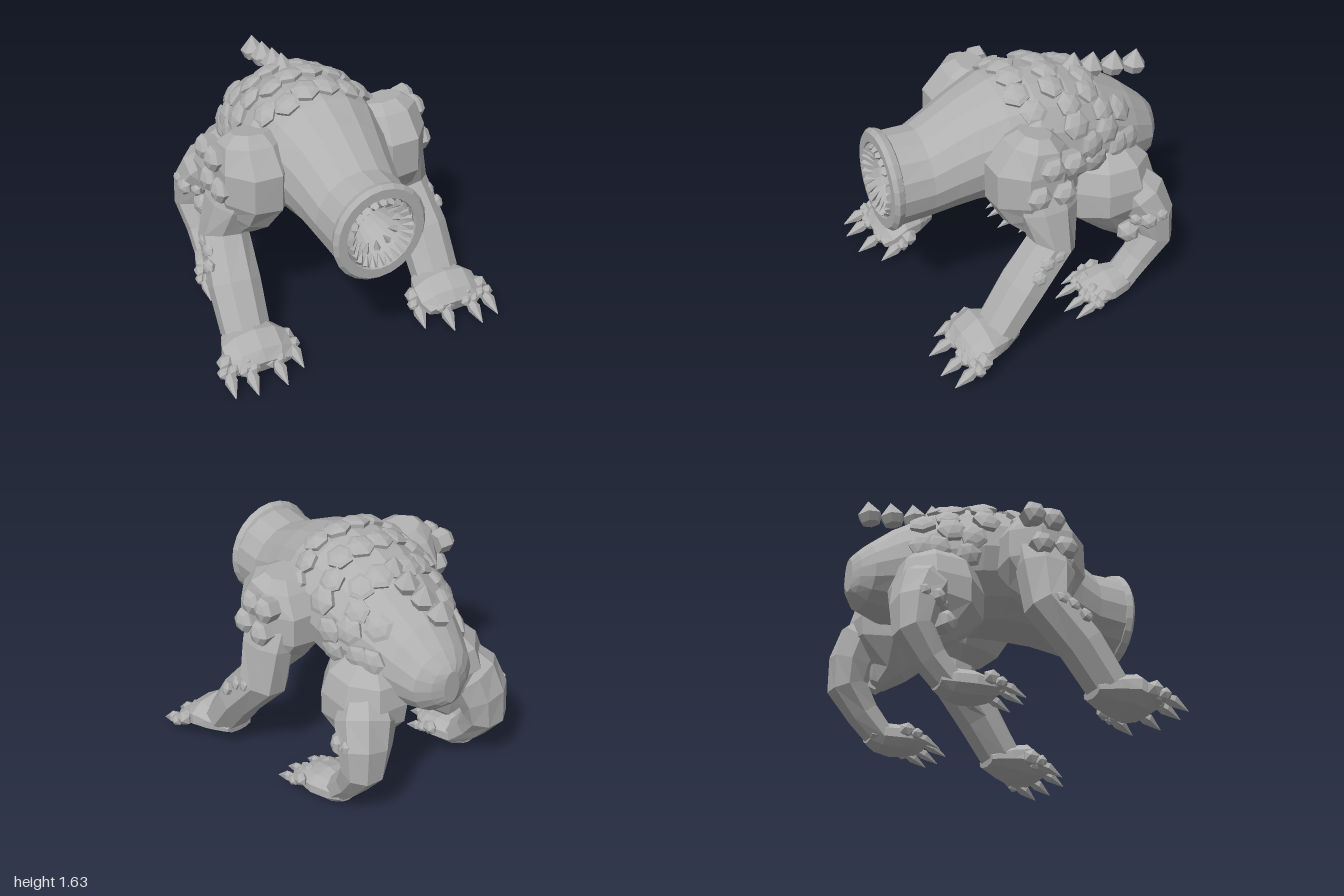
import * as THREE from 'three';

const V = (x, y, z) => new THREE.Vector3(x, y, z);
const hide = new THREE.MeshStandardMaterial({ color: 0xb0b0b0, flatShading: true, side: THREE.DoubleSide });
hide.name = 'stone grey hide';

function part(name, geometry, parent) {
  const m = new THREE.Mesh(geometry, hide);
  m.name = name;
  parent.add(m);
  return m;
}

// Skin a list of rings, closing each end with a fan when asked
function loft(rings, capStart = true, capEnd = true) {
  const n = rings[0].length, pos = [], idx = [];
  rings.forEach(r => r.forEach(p => pos.push(p.x, p.y, p.z)));
  for (let i = 0; i < rings.length - 1; i++) for (let j = 0; j < n; j++) {
    const a = i * n + j, b = i * n + (j + 1) % n;
    idx.push(a, b, a + n, b, b + n, a + n);
  }
  const cap = (i, flip) => {
    const c = V(0, 0, 0);
    rings[i].forEach(p => c.addScaledVector(p, 1 / n));
    const k = pos.length / 3;
    pos.push(c.x, c.y, c.z);
    for (let j = 0; j < n; j++) {
      const a = i * n + j, b = i * n + (j + 1) % n;
      flip ? idx.push(k, b, a) : idx.push(k, a, b);
    }
  };
  if (capStart) cap(0, true);
  if (capEnd) cap(rings.length - 1, false);
  const g = new THREE.BufferGeometry();
  g.setAttribute('position', new THREE.Float32BufferAttribute(pos, 3));
  g.setIndex(idx);
  g.computeVertexNormals();
  return g;
}

// Faceted limb through stations [x, y, z, half width, half depth]
function limb(stations, sides = 8) {
  const pts = stations.map(s => V(s[0], s[1], s[2]));
  return loft(stations.map((s, i) => {
    const t = pts[Math.min(i + 1, pts.length - 1)].clone().sub(pts[Math.max(i - 1, 0)]).normalize();
    const u = V(1, 0, 0).addScaledVector(t, -t.x).normalize();
    const v = t.clone().cross(u);
    return Array.from({ length: sides }, (_, j) => {
      const a = (j + 0.5) / sides * Math.PI * 2;
      return pts[i].clone().addScaledVector(u, s[3] * Math.cos(a)).addScaledVector(v, s[4] * Math.sin(a));
    });
  }));
}

// Body sections: [z, top, bottom, half width]
const sections = [
  [-0.995, 1.06, 0.83, 0.06], [-0.965, 1.1, 0.795, 0.14], [-0.9, 1.17, 0.735, 0.23], [-0.75, 1.3, 0.69, 0.3],
  [-0.5, 1.46, 0.68, 0.39], [-0.25, 1.56, 0.71, 0.45], [0, 1.6, 0.76, 0.46], [0.2, 1.57, 0.77, 0.43],
  [0.4, 1.49, 0.77, 0.37], [0.55, 1.41, 0.75, 0.335], [0.7, 1.33, 0.73, 0.31], [0.92, 1.34, 0.71, 0.305]];

// Point on the body; angle 0 is the spine, positive towards +x
function bodyPoint(z, angle) {
  let i = 0;
  while (i < sections.length - 2 && z > sections[i + 1][0]) i++;
  const a = sections[i], b = sections[i + 1], t = (z - a[0]) / (b[0] - a[0]);
  const [top, low, w] = [1, 2, 3].map(k => a[k] + (b[k] - a[k]) * t);
  return V(w * Math.sin(angle), (top + low) / 2 + (top - low) / 2 * Math.cos(angle), z);
}

function bodyNormal(z, angle) {
  const e = 0.02;
  const du = bodyPoint(z, angle + e).sub(bodyPoint(z, angle - e));
  const dz = bodyPoint(z + e, angle).sub(bodyPoint(z - e, angle));
  return dz.cross(du).normalize();
}

// Six-sided armour bump standing on a surface
function bump(name, parent, p, normal, r, height, depth = 0.4) {
  const g = new THREE.LatheGeometry([[0, -depth], [0.85, -depth], [1, 0.2], [0.7, height * 0.7], [0, height]]
    .map(q => new THREE.Vector2(q[0] * r, q[1] * r)), 6);
  const m = part(name, g, parent);
  m.position.copy(p);
  m.quaternion.setFromUnitVectors(V(0, 1, 0), normal.clone().normalize());
  return m;
}

// Clawed paw; local origin is on the ground below the heel
function paw(name, parent, x, z, sx, sy, palm) {
  const g = new THREE.Group();
  g.name = name;
  g.position.set(x, 0, z);
  g.scale.set(sx, sy, 1);
  parent.add(g);
  part('palm', limb(palm, 10), g);
  [[-0.23, 0.45], [-0.08, 0.555], [0.11, 0.565], [0.24, 0.53]].forEach(([fx, tip]) => {
    const kz = tip - 0.2;
    for (const [dx, dy, dz, r] of [[0, 0.145, -0.02, 0.06], [0.035, 0.11, 0.03, 0.045], [-0.03, 0.12, 0.04, 0.045]]) {
      const k = part('knuckle', new THREE.IcosahedronGeometry(r, 0), g);
      k.position.set(fx + dx, dy, kz + dz);
    }
    part('claw', limb([[fx, 0.11, kz + 0.03, 0.025, 0.025], [fx * 1.06, 0.085, kz + 0.1, 0.045, 0.042],
      [fx * 1.12, 0.03, tip, 0.003, 0.003]], 6), g);
  });
}

function buildSide(name) {
  const g = new THREE.Group();
  g.name = name;

  // Front leg
  part('shoulder', limb([[0.47, 1.42, 0.1, 0.13, 0.1], [0.475, 1.36, 0.11, 0.21, 0.19], [0.48, 1.22, 0.13, 0.245, 0.3],
    [0.485, 1, 0.13, 0.245, 0.3], [0.52, 0.87, 0.12, 0.18, 0.22], [0.56, 0.78, 0.1, 0.1, 0.13]]), g);
  part('frontLeg', limb([[0.56, 1.12, 0.1, 0.14, 0.2], [0.62, 0.95, 0.09, 0.15, 0.2], [0.66, 0.7, 0.08, 0.165, 0.16],
    [0.69, 0.45, 0.3, 0.175, 0.145], [0.7, 0.2, 0.475, 0.165, 0.13]]), g);
  paw('frontPaw', g, 0.695, 0.36, 0.97, 1, [[0, 0.15, 0, 0.1, 0.04], [0, 0.165, 0.12, 0.19, 0.1],
    [0, 0.17, 0.23, 0.24, 0.125], [0, 0.125, 0.33, 0.24, 0.1], [0, 0.1, 0.4, 0.2, 0.05]]);
  for (const [y, z] of [[1.28, 0.1], [1.29, -0.04], [1.1, 0.19], [1.09, 0.02]])
    bump('shoulderBump', g, V(0.71, y, z), V(1, 0.1, 0), 0.085, 0.85, 0.8);
  for (const [x, y, z] of [[0.81, 0.66, 0.18], [0.84, 0.59, 0.25], [0.8, 0.69, 0.1]])
    bump('forearmBump', g, V(x, y, z), V(1, 0.4, 0.3), 0.05, 0.6);

  // Hind leg
  part('thigh', limb([[0.28, 1.04, -0.52, 0.13, 0.16], [0.29, 0.94, -0.52, 0.24, 0.27], [0.3, 0.8, -0.52, 0.28, 0.31],
    [0.31, 0.64, -0.52, 0.27, 0.3], [0.34, 0.48, -0.56, 0.16, 0.13], [0.37, 0.4, -0.61, 0.08, 0.06]]), g);
  part('hindLeg', limb([[0.34, 0.88, -0.56, 0.12, 0.12], [0.43, 0.7, -0.69, 0.2, 0.18], [0.48, 0.56, -0.75, 0.185, 0.15],
    [0.5, 0.4, -0.765, 0.155, 0.13], [0.5, 0.24, -0.65, 0.12, 0.105], [0.5, 0.1, -0.52, 0.12, 0.09]]), g);
  paw('hindPaw', g, 0.505, -0.63, 0.7, 0.85, [[0, 0.12, 0.02, 0.11, 0.06], [0, 0.12, 0.1, 0.18, 0.11],
    [0, 0.115, 0.22, 0.24, 0.115], [0, 0.11, 0.33, 0.24, 0.085], [0, 0.11, 0.4, 0.2, 0.05]]);
  for (const [x, y, z, r] of [[0.62, 0.6, -0.66, 0.06], [0.62, 0.62, -0.75, 0.05], [0.53, 0.49, -0.56, 0.08], [0.56, 0.59, -0.6, 0.045]])
    bump('hindLegBump', g, V(x, y, z), V(1, 0.1, 0.5), r, 0.8, 0.8);

  // Armour rows: spine z, backward sweep, plate angles in degrees
  for (const [z0, sweep, angles] of [
    [0.1, 0.14, [9, 28, 47, 66]],
    [-0.14, 0.2, [9, 27, 45, 63, 81, 98]],
    [-0.38, 0.16, [15, 33, 51, 69, 87]],
    [-0.54, 0.14, [48, 82]]]) {
    angles.forEach((deg, i) => {
      const a = deg * Math.PI / 180, z = z0 - sweep * (deg / 90) ** 2 + (i % 2 ? 0.02 : -0.02);
      const m = bump('armourPlate', g, bodyPoint(z, a), bodyNormal(z, a), 0.098 - (i % 3) * 0.005, 0.52);
      m.rotateY(i * 0.4);
    });
  }
  return g;
}

export function createModel() {
  const model = new THREE.Group();
  model.name = 'creature';

  // Barrel-shaped body
  part('body', loft(sections.map(([z, top, low, w]) => Array.from({ length: 16 }, (_, j) => {
    const a = j / 16 * Math.PI * 2;
    return V(w * Math.cos(a), (top + low) / 2 + (top - low) / 2 * Math.sin(a), z);
  })), true, false), model);

  // Oval mouth with lip and funnel throat
  const mouth = new THREE.Group();
  mouth.name = 'mouth';
  mouth.position.y = 1.03;
  mouth.scale.x = 0.93;
  model.add(mouth);
  const lip = [[0.305, 0.89], [0.33, 0.905], [0.343, 0.945], [0.318, 0.972], [0.255, 0.972], [0.245, 0.95],
    [0.235, 0.88], [0.15, 0.7], [0, 0.52]].map(p => new THREE.Vector2(...p));
  part('lipAndThroat', new THREE.LatheGeometry(lip, 24).rotateX(Math.PI / 2), mouth);
  for (const [count, r0, r1, z0, z1, w] of [[24, 0.235, 0.16, 0.975, 0.93, 0.028], [14, 0.2, 0.12, 0.85, 0.86, 0.025]]) {
    for (let i = 0; i < count; i++) {
      const a = i / count * Math.PI * 2;
      const from = V(r0 * Math.cos(a), r0 * Math.sin(a), z0), to = V(r1 * Math.cos(a), r1 * Math.sin(a), z1);
      const d = to.clone().sub(from);
      const tooth = part('tooth', new THREE.ConeGeometry(w, d.length(), 5), mouth);
      tooth.position.copy(from).add(to).multiplyScalar(0.5);
      tooth.quaternion.setFromUnitVectors(V(0, 1, 0), d.normalize());
    }
  }
  part('throatBead', new THREE.IcosahedronGeometry(0.02, 1), mouth).position.set(0, 0.01, 0.58);

  // Floating spikes above the rump
  const spike = new THREE.LatheGeometry([[0, -0.055], [0.06, -0.045], [0.085, 0.01], [0, 0.115]]
    .map(p => new THREE.Vector2(...p)), 6);
  for (const [y, z] of [[1.49, -0.4], [1.46, -0.54], [1.43, -0.7], [1.4, -0.86]]) {
    const m = part('backSpike', spike, model);
    m.position.set(0, y, z);
    m.rotation.x = -0.15;
  }

  // Legs and armour, mirrored
  model.add(buildSide('leftSide'));
  const right = buildSide('rightSide');
  right.scale.x = -1;
  model.add(right);
  return model;
}
